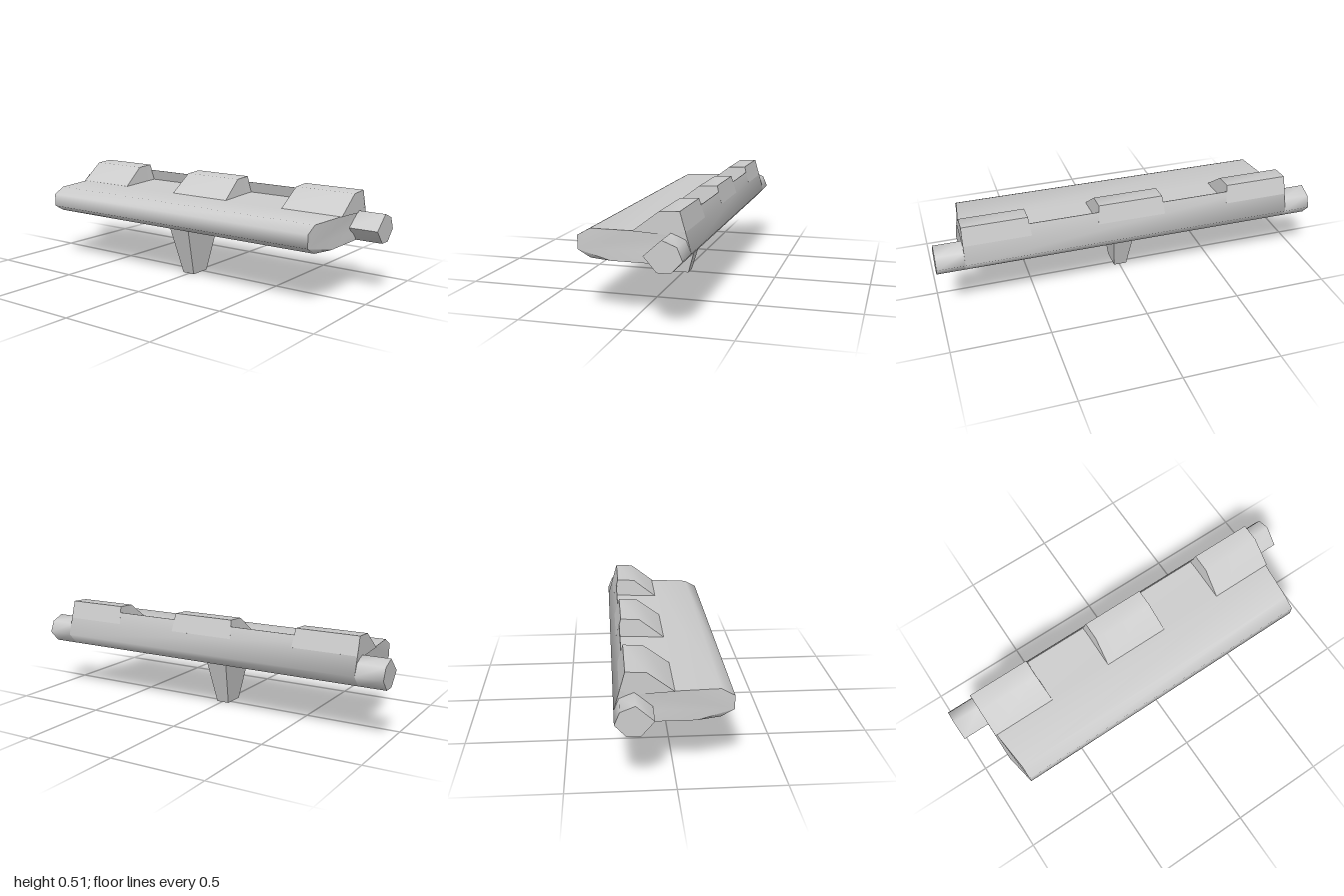
import * as THREE from 'three';
import { toCreasedNormals } from 'three/addons/utils/BufferGeometryUtils.js';

// Extrude a [z, y] profile along x from x0 to x1; bend(x, y, z) may return a new x
function prism(profile, x0, x1, bend) {
  const shape = new THREE.Shape(profile.map(([z, y]) => new THREE.Vector2(-z, y)));
  const geo = new THREE.ExtrudeGeometry(shape, { depth: x1 - x0, bevelEnabled: false });
  geo.rotateY(Math.PI / 2);
  geo.translate(x0, 0, 0);
  if (bend) {
    const p = geo.attributes.position;
    for (let i = 0; i < p.count; i++) p.setX(i, bend(p.getX(i), p.getY(i), p.getZ(i)));
  }
  return toCreasedNormals(geo, 1.2);
}

export function createModel() {
  const group = new THREE.Group();
  const grey = new THREE.MeshStandardMaterial({ color: 0xcccccc });
  grey.name = 'grey';
  const add = (name, geo) => {
    const mesh = new THREE.Mesh(geo, grey);
    mesh.name = name;
    group.add(mesh);
  };

  // Long slab with a thin lip along the rear; the ends narrow towards the front
  const slab = [
    [0.273, 0.37], [0.21, 0.405], [0, 0.41], [-0.243, 0.42], [-0.226, 0.478],
    [-0.229, 0.478], [-0.273, 0.325], [-0.22, 0.268], [0.1, 0.268], [0.21, 0.268], [0.273, 0.303],
  ];
  add('slab', prism(slab, -0.86, 0.86, (x, y, z) =>
    Math.sign(x) * (z > 0.2 ? 0.83 : z > -0.01 && y > 0.4 ? 0.852 : 0.86)));

  // Three raised blocks, their inner top corners slightly drawn in
  const block = [[0, 0.41], [-0.125, 0.505], [-0.22, 0.51], [-0.2465, 0.418], [-0.2, 0.4]];
  const drawIn = (x, y) => {
    if (Math.abs(x) > 0.8) return x;
    const outward = Math.abs(x) < 0.3 ? -1 : 1;
    return x + (y > 0.48 ? outward * Math.sign(x) * 0.01 : 0);
  };
  add('rightBlock', prism(block, -0.859, -0.52, drawIn));
  add('centreBlock', prism(block, -0.178, 0.178, drawIn));
  add('leftBlock', prism(block, 0.52, 0.859, drawIn));

  // Six-sided pivot pegs at both ends
  const peg = [
    [-0.097, 0.338], [-0.18, 0.412], [-0.248, 0.385], [-0.273, 0.325], [-0.22, 0.268], [-0.158, 0.268],
  ];
  add('rightPeg', prism(peg, -1, -0.85));
  add('leftPeg', prism(peg, 0.85, 1));

  // Tapered stem underneath
  const stem = [[0.17, 0.27], [-0.107, 0.27], [-0.03, 0], [0.085, 0]];
  add('stem', prism(stem, -0.06, 0.06, (x, y) => Math.sign(x) * (y > 0.1 ? 0.062 : 0.035) - 0.005));

  return group;
}
